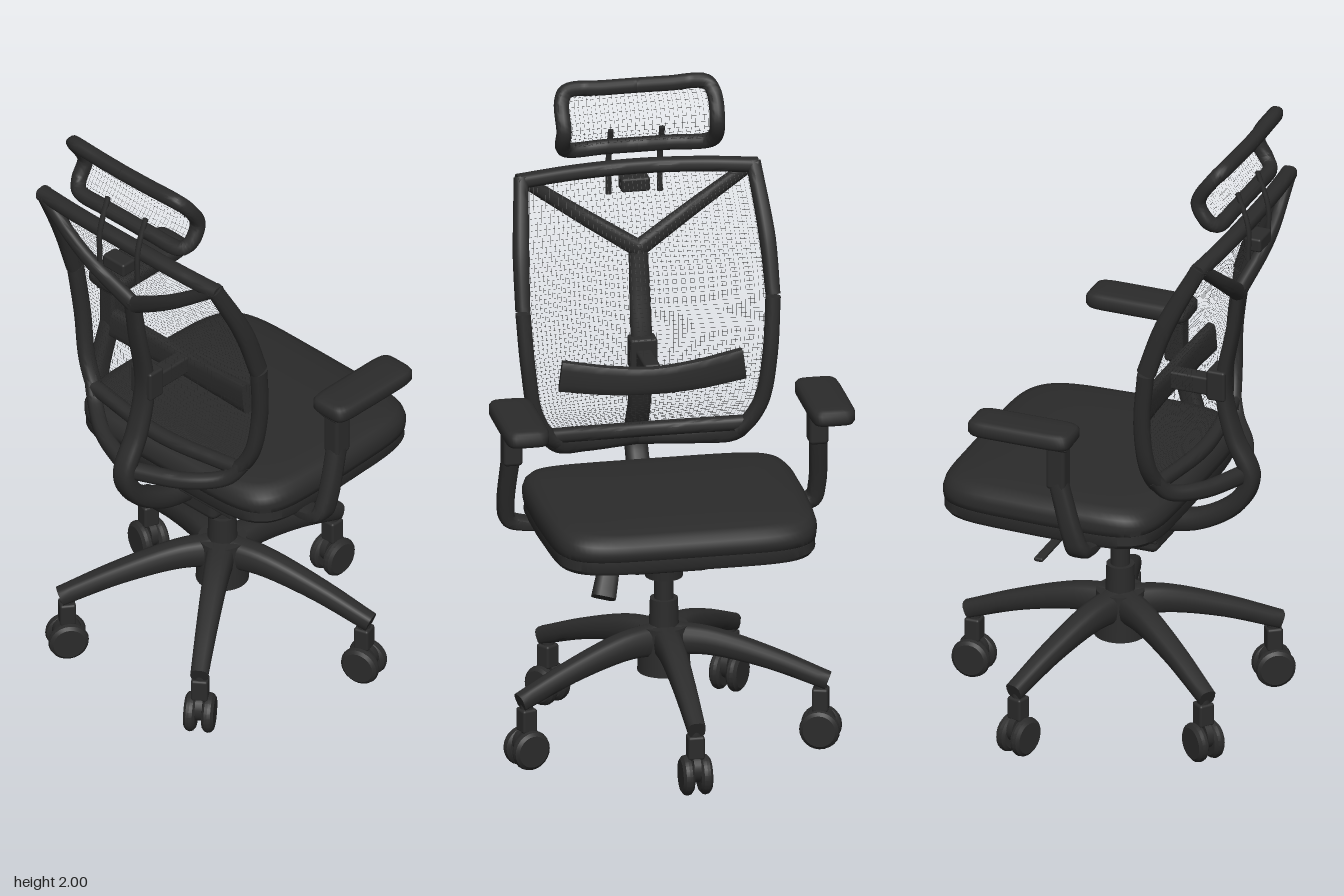
import * as THREE from 'three';
import { toCreasedNormals } from 'three/addons/utils/BufferGeometryUtils.js';
import { RoundedBoxGeometry } from 'three/addons/geometries/RoundedBoxGeometry.js';

const V = (x, y, z) => new THREE.Vector3(x, y, z);
const curveOf = pts => new THREE.CatmullRomCurve3(pts.map(p => V(p[0], p[1], p[2])), false, 'centripetal');

// Skin over a list of equal-length rings, with both ends capped
function loft(rings, crease = 0.7) {
  const n = rings[0].length, pos = [], idx = [];
  rings.forEach(r => r.forEach(p => pos.push(p.x, p.y, p.z)));
  for (let i = 0; i < rings.length - 1; i++) for (let j = 0; j < n; j++) {
    const a = i * n + j, b = i * n + (j + 1) % n;
    idx.push(a, b, a + n, b, b + n, a + n);
  }
  [0, rings.length - 1].forEach((k, end) => {
    const c = rings[k].reduce((s, p) => s.add(p), V(0, 0, 0)).divideScalar(n);
    pos.push(c.x, c.y, c.z);
    const ci = pos.length / 3 - 1;
    for (let j = 0; j < n; j++) {
      const a = k * n + j, b = k * n + (j + 1) % n;
      end ? idx.push(ci, a, b) : idx.push(ci, b, a);
    }
  });
  const g = new THREE.BufferGeometry();
  g.setAttribute('position', new THREE.Float32BufferAttribute(pos, 3));
  g.setIndex(idx);
  return toCreasedNormals(g, crease);
}

const superPow = (v, e) => Math.sign(v) * Math.abs(v) ** (2 / e);

// Sweep a rounded section along a curve; sizes = [[along side, across], ...] from start to end
function sweep(pts, sizes, side, steps = 20, power = 2.6) {
  const curve = curveOf(pts), rings = [], n = 14;
  for (let i = 0; i <= steps; i++) {
    const t = i / steps, c = curve.getPoint(t), tan = curve.getTangent(t);
    const up = tan.clone().cross(side).normalize(), s = up.clone().cross(tan).normalize();
    const f = t * (sizes.length - 1), k = Math.min(Math.floor(f), Math.max(sizes.length - 2, 0));
    const A = sizes[k], B = sizes[k + 1] || A;
    const w = A[0] + (B[0] - A[0]) * (f - k), h = A[1] + (B[1] - A[1]) * (f - k);
    rings.push(Array.from({ length: n }, (_, j) => {
      const a = j / n * Math.PI * 2;
      return c.clone().addScaledVector(s, superPow(Math.cos(a), power) * w / 2)
        .addScaledVector(up, superPow(Math.sin(a), power) * h / 2);
    }));
  }
  return loft(rings);
}

// Woven net of thin ribbons over the surface fn(u, v)
function net(fn, cols, rows, width) {
  const pos = [], idx = [], seg = 16;
  const strand = (at, across) => {
    for (let i = 0; i <= seg; i++) {
      const p = at(i / seg), d = across.clone().multiplyScalar(width / 2);
      pos.push(p.x - d.x, p.y - d.y, p.z - d.z, p.x + d.x, p.y + d.y, p.z + d.z);
      const k = pos.length / 3 - 2;
      if (i < seg) idx.push(k, k + 1, k + 2, k + 1, k + 3, k + 2);
    }
  };
  for (let c = 1; c < cols; c++) strand(t => fn(c / cols, t), V(1, 0, 0));
  for (let r = 1; r < rows; r++) strand(t => fn(t, r / rows), V(0, 1, 0));
  const g = new THREE.BufferGeometry();
  g.setAttribute('position', new THREE.Float32BufferAttribute(pos, 3));
  g.setIndex(idx);
  g.computeVertexNormals();
  return g;
}

export function createModel() {
  const chair = new THREE.Group();
  chair.name = 'officeChair';
  const black = new THREE.MeshStandardMaterial({ name: 'charcoal', color: 0x2b2b2b, side: THREE.DoubleSide });
  const X = V(1, 0, 0), Y = V(0, 1, 0), Z = V(0, 0, 1);
  const add = (name, geo, x = 0, y = 0, z = 0, parent = chair) => {
    const m = new THREE.Mesh(geo, black);
    m.name = name;
    m.position.set(x, y, z);
    parent.add(m);
    return m;
  };
  const box = (w, h, d, r = 0.008) => new RoundedBoxGeometry(w, h, d, 3, r);
  const cyl = (rt, rb, h) => new THREE.CylinderGeometry(rt, rb, h, 24);
  const mirror = (pts, s) => pts.map(p => [p[0] * s, p[1], p[2]]);
  const hubZ = 0.03;

  // Five-legged base with twin-wheel casters
  for (let i = 0; i < 5; i++) {
    const leg = new THREE.Group();
    leg.name = 'baseLeg';
    leg.position.z = hubZ;
    leg.rotation.y = Math.PI + i * Math.PI * 2 / 5;
    chair.add(leg);
    add('legBeam', sweep([[0, 0.335, 0.03], [0, 0.33, 0.14], [0, 0.284, 0.32], [0, 0.215, 0.505]],
      [[0.09, 0.1], [0.08, 0.085], [0.068, 0.065], [0.055, 0.055]], X, 16, 3), 0, 0, 0, leg);
    add('casterNeck', cyl(0.02, 0.02, 0.04), 0, 0.205, 0.482, leg);
    add('casterStem', box(0.052, 0.075, 0.05), 0, 0.155, 0.482, leg);
    add('casterHood', cyl(0.045, 0.045, 0.022), 0, 0.085, 0.482, leg).rotation.z = Math.PI / 2;
    const wheelShape = [[0, -0.018], [0.05, -0.018], [0.06, -0.01], [0.063, 0], [0.06, 0.01], [0.05, 0.018], [0, 0.018]];
    for (const s of [-1, 1]) {
      const wheel = new THREE.LatheGeometry(wheelShape.map(p => new THREE.Vector2(...p)), 24);
      add('casterWheel', toCreasedNormals(wheel, 0.6), s * 0.028, 0.063, 0.482, leg).rotation.z = Math.PI / 2;
    }
  }

  // Gas column
  add('hub', cyl(0.075, 0.082, 0.15), 0, 0.305, hubZ);
  add('columnSleeve', cyl(0.043, 0.046, 0.09), 0, 0.42, hubZ);
  add('columnRod', cyl(0.03, 0.03, 0.12), 0, 0.5, hubZ);
  add('columnCollar', cyl(0.062, 0.058, 0.05), 0, 0.562, hubZ);

  // Tilt mechanism, seat plate and levers
  add('tiltMechanism', box(0.25, 0.092, 0.28, 0.022), 0, 0.625, 0.06);
  add('mechanismTop', box(0.16, 0.06, 0.2), 0, 0.69, 0.04);
  add('seatPlate', box(0.5, 0.02, 0.49, 0.006), 0, 0.69, 0.005);
  add('heightLever', box(0.36, 0.014, 0.03, 0.006), -0.24, 0.647, -0.07);
  add('tiltShaft', sweep([[0.17, 0.65, -0.085], [0.23, 0.595, -0.155]], [[0.036, 0.036]], X, 4));
  add('tiltPaddle', sweep([[0.208, 0.625, -0.137], [0.23, 0.555, -0.175]], [[0.065, 0.06], [0.075, 0.065]], X, 4, 4));

  // Seat cushion over a shallow shell
  const seatRing = ([s, y]) => Array.from({ length: 64 }, (_, j) => {
    const a = -j / 64 * Math.PI * 2, c = superPow(Math.cos(a), 5.8), d = superPow(Math.sin(a), 5.8);
    const x = 0.421 * s * c * (1 - 0.03 * Math.max(0, -d)), z = -0.075 + 0.367 * s * d;
    return V(x, y - (y > 0.8 ? 0.014 * (s * d) ** 4 : 0), z);
  });
  add('seatShell', loft([[0.8, 0.72], [0.97, 0.722], [0.99, 0.735], [0.985, 0.764]].map(seatRing)));
  add('seatCushion', loft([[0.96, 0.758], [0.995, 0.768], [1, 0.785], [1, 0.805], [0.985, 0.825], [0.95, 0.84],
    [0.88, 0.847], [0.7, 0.851], [0.4, 0.853], [0.05, 0.853]].map(seatRing), 0.9));

  // Armrests
  const padRing = ([inset, y]) => Array.from({ length: 40 }, (_, j) => {
    const a = -j / 40 * Math.PI * 2;
    return V((0.069 - inset) * superPow(Math.cos(a), 5), y, (0.168 - inset) * superPow(Math.sin(a), 8));
  });
  const padRings = [[0.02, -0.026], [0.006, -0.022], [0, -0.012], [0, 0.012], [0.006, 0.021], [0.02, 0.026], [0.05, 0.027]];
  for (const s of [-1, 1]) {
    const arm = new THREE.Group();
    arm.name = s > 0 ? 'leftArmrest' : 'rightArmrest';
    chair.add(arm);
    add('armPad', loft(padRings.map(padRing), 0.8), s * 0.477, 1.114, -0.094, arm);
    add('padMount', box(0.07, 0.02, 0.1), s * 0.477, 1.085, 0.01, arm);
    add('armPost', box(0.06, 0.15, 0.062, 0.012), s * 0.477, 1.015, 0.02, arm);
    add('armBracket', sweep(mirror([[0.36, 0.715, 0.085], [0.43, 0.72, 0.088], [0.475, 0.737, 0.085],
      [0.486, 0.79, 0.07], [0.48, 0.96, 0.022]], s), [[0.07, 0.035], [0.07, 0.048], [0.055, 0.055]], Z, 24, 3.5), 0, 0, 0, arm);
  }

  // Back frame
  const sidePts = [[0.31, 0.925, 0.275], [0.352, 1.0, 0.262], [0.377, 1.15, 0.255], [0.39, 1.33, 0.273],
    [0.384, 1.5, 0.333], [0.362, 1.71, 0.44]];
  for (const s of [-1, 1]) {
    add('lowerSideRail', sweep(mirror([[0.28, 0.9, 0.285], ...sidePts.slice(0, 4)], s), [[0.045, 0.05], [0.046, 0.052]], X, 24));
    add('upperSideRail', sweep(mirror([[0.39, 1.335, 0.275], ...sidePts.slice(4)], s), [[0.044, 0.06], [0.05, 0.06], [0.045, 0.05]], X, 20));
    add('yokeArm', sweep(mirror([[0, 1.46, 0.42], [0.18, 1.575, 0.45], [0.355, 1.7, 0.445]], s), [[0.055, 0.04], [0.04, 0.035]], Y, 12));
    add('lowerYoke', sweep(mirror([[0.325, 0.945, 0.27], [0.28, 0.885, 0.3], [0.18, 0.858, 0.37], [0, 0.845, 0.44]], s),
      [[0.045, 0.045], [0.055, 0.05]], Y, 20));
  }
  add('topRail', sweep([[-0.375, 1.7, 0.435], [-0.2, 1.71, 0.452], [0, 1.715, 0.458], [0.2, 1.71, 0.452], [0.375, 1.7, 0.435]],
    [[0.045, 0.05]], Y, 24));
  add('bottomRail', sweep([[-0.3, 0.922, 0.28], [0, 0.912, 0.31], [0.3, 0.922, 0.28]], [[0.045, 0.045]], Y, 20));

  // Spine sweeping down under the seat
  add('spine', sweep([[0, 1.475, 0.425], [0, 1.34, 0.405], [0, 1.13, 0.372], [0, 0.97, 0.405], [0, 0.84, 0.46],
    [0, 0.75, 0.42], [0, 0.67, 0.3], [0, 0.64, 0.15]], [[0.06, 0.035], [0.07, 0.045], [0.072, 0.06], [0.075, 0.07]], X, 48, 3));

  // Lumbar support
  add('lumbarPad', sweep([[-0.285, 1.14, 0.215], [-0.14, 1.122, 0.196], [0, 1.115, 0.188], [0.14, 1.122, 0.196], [0.285, 1.14, 0.215]],
    [[0.1, 0.035], [0.085, 0.04], [0.1, 0.035]], Y, 24, 4));
  add('lumbarArm', box(0.05, 0.06, 0.16), 0, 1.13, 0.28);
  add('lumbarSlider', box(0.085, 0.1, 0.06), 0, 1.145, 0.36);

  // Back net, stretched between the side rails
  const sideCurve = curveOf(sidePts);
  add('backNet', net((u, v) => {
    const p = sideCurve.getPoint(v), k = 2 * u - 1;
    return V(p.x * k, p.y, p.z + 0.025 * (1 - k * k));
  }, 56, 64, 0.0007));

  // Headrest: round-cornered frame bulging forward, net and rods
  const headPts = [[0.215, 1.79, 0.437], [0.237, 1.81, 0.415], [0.239, 1.87, 0.385], [0.237, 1.95, 0.432], [0.217, 1.976, 0.455]];
  const headSide = curveOf(headPts);
  for (const s of [-1, 1]) {
    add('headrestFrame', sweep(mirror([[0, 1.79, 0.445], [0.1, 1.79, 0.445], ...headPts, [0.1, 1.977, 0.46], [0, 1.977, 0.462]], s),
      [[0.044, 0.046]], Z, 64));
    add('headrestRod', sweep([[s * 0.08, 1.62, 0.485], [s * 0.08, 1.73, 0.485], [s * 0.08, 1.84, 0.45]], [[0.018, 0.014]], X, 10));
  }
  add('headrestNet', net((u, v) => {
    const p = headSide.getPoint(v), k = 2 * u - 1;
    return V(p.x * k, p.y, p.z + 0.01 * (1 - k * k));
  }, 36, 16, 0.0007));
  add('headrestClamp', box(0.09, 0.045, 0.055), 0, 1.652, 0.484);

  return chair;
}
